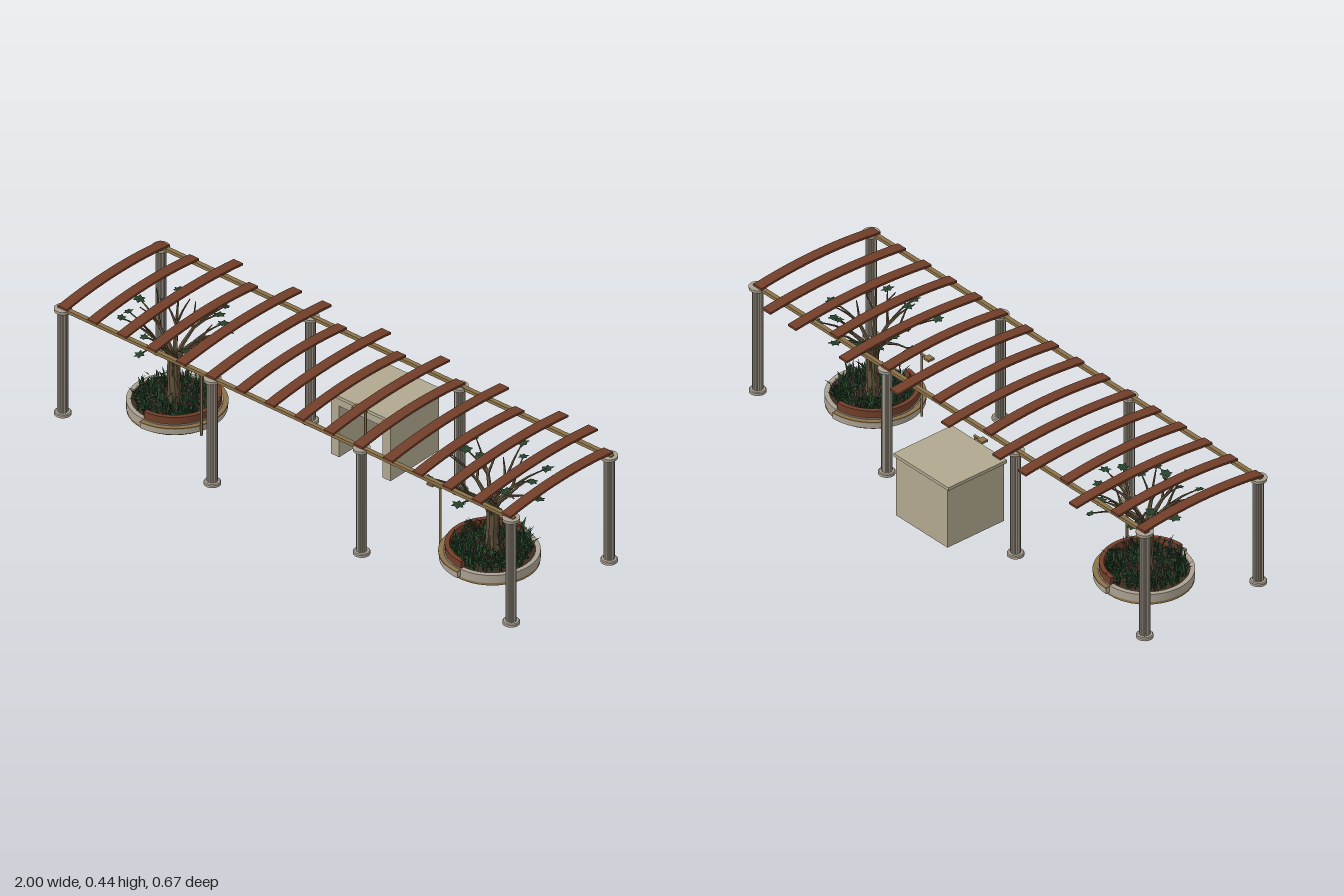
import * as THREE from 'three';
import { mergeGeometries } from 'three/addons/utils/BufferGeometryUtils.js';

const mat = (name, color, extra = {}) => {
  const m = new THREE.MeshStandardMaterial({ color, ...extra });
  m.name = name;
  return m;
};

export function createModel() {
  const M = {
    stone: mat('stone', 0xaaa192, { flatShading: true }),
    plaster: mat('plaster', 0xb0a78f),
    wood: mat('red wood', 0x713e29, { flatShading: true }),
    tan: mat('tan timber', 0x8b7148),
    bark: mat('bark', 0x5c4e38, { flatShading: true }),
    soil: mat('soil', 0x3a2c20),
    leaf: mat('tree leaf', 0x24402a, { side: THREE.DoubleSide }),
    grass: mat('grass', 0x25492c, { side: THREE.DoubleSide }),
    flower: mat('flower stalk', 0x82757a, { side: THREE.DoubleSide }),
    dark: mat('dark slat', 0x3b3026),
  };
  let seed = 7;
  const rnd = (a = 0, b = 1) => {
    seed = (seed * 16807) % 2147483647;
    return a + (b - a) * (seed / 2147483647);
  };
  const root = new THREE.Group();
  root.name = 'pergola';
  const add = (parent, name, geo, material, x = 0, y = 0, z = 0) => {
    const m = new THREE.Mesh(geo, material);
    m.name = name;
    m.position.set(x, y, z);
    parent.add(m);
    return m;
  };
  const box = (parent, name, material, x0, x1, y0, y1, z0, z1) =>
    add(parent, name, new THREE.BoxGeometry(x1 - x0, y1 - y0, z1 - z0), material,
      (x0 + x1) / 2, (y0 + y1) / 2, (z0 + z1) / 2);

  // Fluted columns
  const shaft = new THREE.CylinderGeometry(0.0185, 0.0185, 0.392, 32, 1);
  const sp = shaft.attributes.position;
  for (let i = 0; i < sp.count; i++) {
    const a = Math.round(Math.atan2(sp.getZ(i), sp.getX(i)) / (Math.PI / 16));
    if (a & 1) sp.setXYZ(i, sp.getX(i) * 0.86, sp.getY(i), sp.getZ(i) * 0.86);
  }
  const V = (x, y) => new THREE.Vector2(x, y);
  const baseGeo = new THREE.LatheGeometry([V(0, 0), V(0.029, 0), V(0.029, 0.009), V(0.026, 0.012), V(0, 0.012)], 20);
  const capGeo = new THREE.LatheGeometry([V(0, 0), V(0.019, 0), V(0.021, 0.004), V(0.029, 0.005), V(0.03, 0.016), V(0, 0.016)], 20);
  for (const x of [-0.97, -0.323, 0.323, 0.97]) for (const z of [0.306, -0.188]) {
    const col = new THREE.Group();
    col.name = 'column';
    col.position.set(x, 0, z);
    root.add(col);
    add(col, 'columnBase', baseGeo, M.stone);
    add(col, 'columnShaft', shaft, M.stone, 0, 0.206, 0);
    add(col, 'columnCapital', capGeo, M.stone, 0, 0.398, 0);
  }

  // Long rails on the columns
  for (const z of [0.306, -0.188]) box(root, 'rail', M.tan, -0.985, 0.985, 0.406, 0.418, z - 0.008, z + 0.008);

  // Arched roof slats, some reaching further back
  const slatGeo = (z0, z1) => {
    const n = 14, h = 0.004, top = [], low = [];
    for (let i = 0; i <= n; i++) {
      const u = i / n * 2 - 1, z = z0 + (z1 - z0) * i / n, y = 0.42 + 0.018 * (1 - u * u);
      top.push(V(-z, y + h));
      low.unshift(V(-z, y - h));
    }
    return new THREE.ExtrudeGeometry(new THREE.Shape([...low, ...top]), { depth: 0.04, bevelEnabled: false })
      .translate(0, 0, -0.02).rotateY(Math.PI / 2);
  };
  const shortSlat = slatGeo(0.317, -0.2), longSlat = slatGeo(0.317, -0.272);
  const longOnes = [2, 4, 5, 7, 9, 11, 13, 14];
  for (let i = 0; i < 16; i++)
    add(root, 'roofSlat', longOnes.includes(i) ? longSlat : shortSlat, M.wood, -0.963 + i * 0.128, 0, 0);

  // Small hollow hut, open at the front and below
  const hut = new THREE.Group();
  hut.name = 'hut';
  root.add(hut);
  box(hut, 'hutRoof', M.plaster, -0.155, 0.12, 0.23, 0.242, -0.335, -0.08);
  box(hut, 'hutBackWall', M.plaster, -0.145, 0.112, 0, 0.23, -0.33, -0.32);
  box(hut, 'hutSideWall', M.plaster, -0.145, -0.11, 0, 0.23, -0.32, -0.085);
  box(hut, 'hutSideWall', M.plaster, 0.077, 0.112, 0, 0.23, -0.32, -0.085);
  box(hut, 'hutLintel', M.plaster, -0.11, 0.077, 0.2, 0.23, -0.32, -0.085);
  for (const y of [0.042, 0.087, 0.132]) box(hut, 'hutBar', M.dark, -0.11, 0.077, y - 0.004, y + 0.004, -0.32, -0.312);

  // Slim lamp posts with a side arm
  const lamp = (x, z, dir) => {
    const g = new THREE.Group();
    g.name = 'lampPost';
    g.position.set(x, 0, z);
    root.add(g);
    add(g, 'post', new THREE.CylinderGeometry(0.0045, 0.0045, 0.246, 8), M.tan, 0, 0.123, 0);
    add(g, 'arm', new THREE.BoxGeometry(0.05, 0.006, 0.008), M.tan, dir * 0.02, 0.243, 0);
    add(g, 'lampHead', new THREE.BoxGeometry(0.026, 0.008, 0.026), M.tan, dir * 0.036, 0.244, 0);
  };
  lamp(-0.54, 0.108, 1);
  lamp(0.505, 0.122, -1);
  lamp(0.02, -0.066, -1);

  // Ring or half ring; the half ring faces +x
  const ring = (ro, ri, y0, y1, half) => {
    const s = new THREE.Shape(), a = Math.PI / 2;
    if (half) {
      s.absarc(0, 0, ro, -a, a, false);
      s.absarc(0, 0, ri, a, -a, true);
    } else {
      s.absarc(0, 0, ro, 0, Math.PI * 2, false);
      s.holes.push(new THREE.Path().absarc(0, 0, ri, 0, Math.PI * 2, true));
    }
    return new THREE.ExtrudeGeometry(s, { depth: y1 - y0, bevelEnabled: false, curveSegments: half ? 20 : 36 })
      .rotateX(-Math.PI / 2).translate(0, y0, 0);
  };

  // Tapered limb along a curve
  const limb = (pts, r0, r1, n = 6, sides = 6) => {
    const curve = new THREE.CatmullRomCurve3(pts);
    const g = new THREE.TubeGeometry(curve, n, 1, sides);
    const p = g.attributes.position, v = new THREE.Vector3();
    for (let i = 0; i < p.count; i++) {
      const t = Math.floor(i / (sides + 1)) / n, c = curve.getPointAt(t);
      v.fromBufferAttribute(p, i).sub(c).multiplyScalar(r0 + (r1 - r0) * t).add(c);
      p.setXYZ(i, v.x, v.y, v.z);
    }
    return g;
  };
  const P = (a, r, y) => new THREE.Vector3(Math.cos(a) * r, y, Math.sin(a) * r);

  // Flat lobed leaf clump
  const clump = (r) => {
    const s = new THREE.Shape();
    for (let i = 0; i < 12; i++) {
      const a = i * Math.PI / 6, q = r * (i % 2 ? 0.6 : rnd(0.8, 1.15));
      i ? s.lineTo(Math.cos(a) * q, Math.sin(a) * q) : s.moveTo(q, 0);
    }
    return new THREE.ShapeGeometry(s).rotateX(-Math.PI / 2 + rnd(-0.2, 0.2)).rotateZ(rnd(-0.2, 0.2));
  };

  // Bent blade with one fold
  const blade = (a, r, y, h, lean, w) => {
    const b = P(a, r, y), d = rnd(0, 6.28), c = Math.cos(d), s = Math.sin(d), pos = [];
    for (const [t, k] of [[0, 0.6], [0.6, 1], [1, 0.08]]) for (const e of [-1, 1])
      pos.push(b.x + c * lean * t * t - s * w * k * e, b.y + h * (t - 0.25 * t * t * t), b.z + s * lean * t * t + c * w * k * e);
    const g = new THREE.BufferGeometry();
    g.setAttribute('position', new THREE.Float32BufferAttribute(pos, 3));
    g.setIndex([0, 1, 2, 1, 3, 2, 2, 3, 4, 3, 5, 4]);
    g.computeVertexNormals();
    return g;
  };

  // Round planter with a half-ring seat, tree and undergrowth
  const planter = (x, z, turn) => {
    const g = new THREE.Group();
    g.name = 'planter';
    g.position.set(x, 0, z);
    g.rotation.y = turn;
    root.add(g);
    add(g, 'planterBase', new THREE.CylinderGeometry(0.159, 0.159, 0.012, 36), M.tan, 0, 0.006, 0);
    add(g, 'planterWall', ring(0.16, 0.143, 0.01, 0.04), M.stone);
    add(g, 'soil', new THREE.CylinderGeometry(0.145, 0.145, 0.024, 36), M.soil, 0, 0.023, 0);
    add(g, 'seatBlock', ring(0.175, 0.15, 0.012, 0.033, true), M.stone);
    add(g, 'seatTop', ring(0.177, 0.15, 0.033, 0.037, true), M.tan);
    add(g, 'seatBack', ring(0.156, 0.14, 0.037, 0.067, true), M.wood);

    const wood = [limb([P(0, 0, 0.03), P(1, 0.004, 0.08), P(3, 0.006, 0.15), P(2, 0.004, 0.225)], 0.024, 0.018, 8, 8)];
    for (let i = 0; i < 5; i++) // root flare and trunk ribs
      wood.push(limb([P(i * 1.26, 0.018, 0.03), P(i * 1.26 + 0.3, 0.011, 0.11), P(i * 1.26 + 0.6, 0.01, 0.21)], 0.012, 0.009, 5));
    const leaves = [];
    for (let i = 0; i < 8; i++) {
      const a = i * Math.PI / 4 + rnd(-0.2, 0.2), y = rnd(0.26, 0.285);
      const fork = P(a, rnd(0.065, 0.085), y);
      wood.push(limb([P(a, 0.006, 0.17), P(a, 0.022, 0.225), fork], 0.011, 0.006, 5));
      for (let k = -1; k <= 1; k++) {
        const b = a + k * 0.36 + rnd(-0.1, 0.1), r = k ? rnd(0.12, 0.175) : rnd(0.175, 0.215);
        const tip = P(b, r, y + rnd(0.035, 0.085));
        const mid = fork.clone().lerp(tip, 0.5);
        mid.y += 0.008;
        wood.push(limb([fork, mid, tip], 0.0055, 0.0018, 4, 5));
        if (k === 0 || rnd() < 0.6) leaves.push(clump(rnd(0.017, 0.026)).translate(tip.x, tip.y, tip.z));
      }
    }
    add(g, 'tree', mergeGeometries(wood), M.bark);
    add(g, 'treeLeaves', mergeGeometries(leaves), M.leaf);

    const grass = [], cover = [], stalks = [];
    for (let i = 0; i < 420; i++)
      grass.push(blade(rnd(0, 6.28), 0.03 + 0.105 * Math.sqrt(rnd()), 0.034, rnd(0.02, 0.075), rnd(0.01, 0.035), rnd(0.002, 0.005)));
    for (let i = 0; i < 90; i++) {
      const p = P(rnd(0, 6.28), 0.03 + 0.1 * Math.sqrt(rnd()), rnd(0.04, 0.055));
      cover.push(clump(rnd(0.009, 0.014)).translate(p.x, p.y, p.z));
    }
    for (let i = 0; i < 34; i++) {
      const a = rnd(0, 6.28), r = rnd(0.04, 0.115), h = rnd(0.09, 0.112);
      stalks.push(limb([P(a, r, 0.035), P(a, r + 0.003, 0.07), P(a, r + 0.004, h)], 0.0009, 0.0009, 2, 3));
      const t = P(a, r + 0.004, h - 0.006);
      stalks.push(new THREE.CylinderGeometry(0.0008, 0.0024, 0.014, 4).translate(t.x, t.y, t.z));
    }
    add(g, 'grass', mergeGeometries(grass), M.grass);
    add(g, 'groundCover', mergeGeometries(cover), M.leaf);
    add(g, 'flowerStalks', mergeGeometries(stalks), M.flower);
  };
  planter(-0.71, 0.045, 0);
  planter(0.672, 0.055, Math.PI);

  return root;
}
